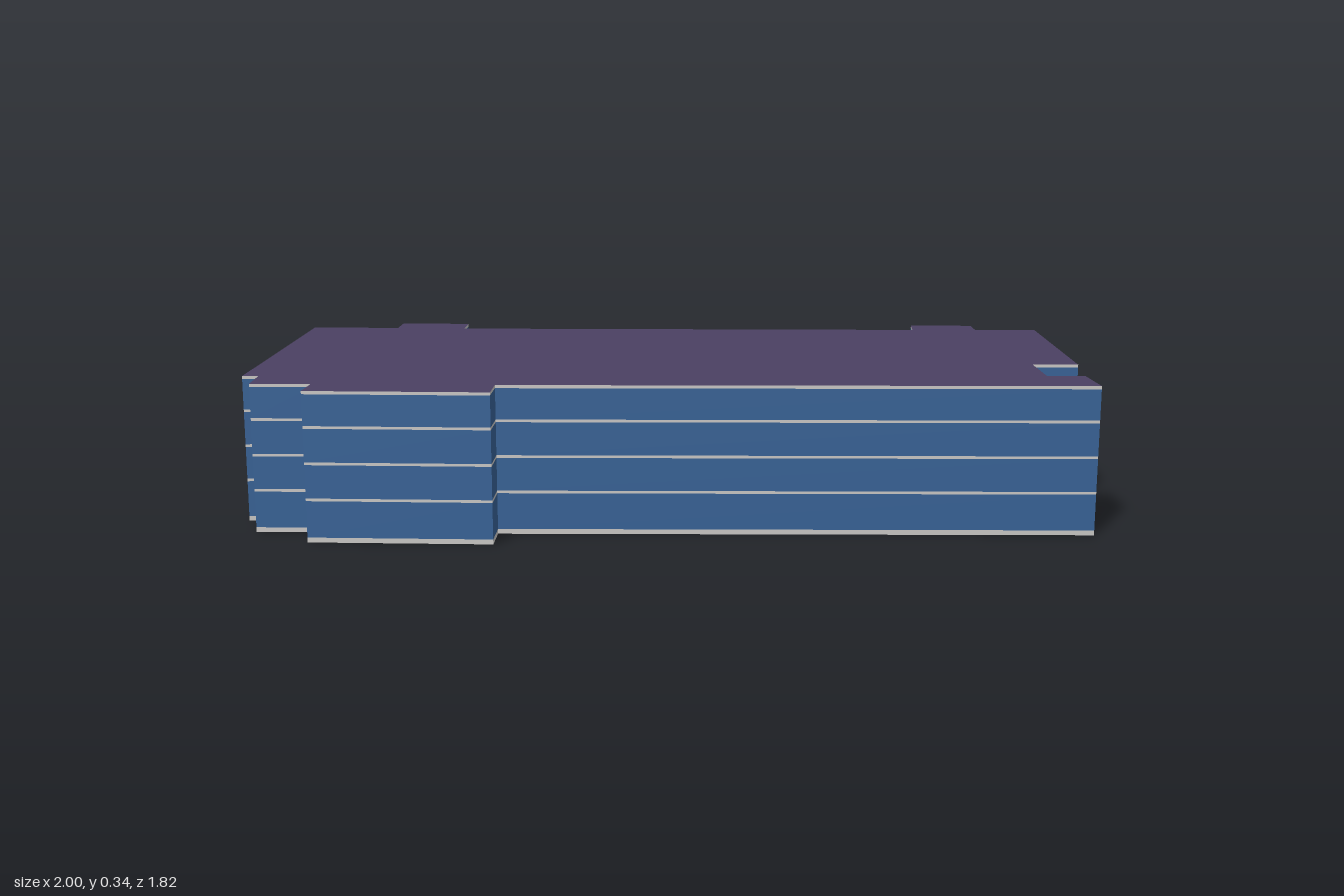
import * as THREE from 'three';

// Footprint corners as [x, z], clockwise seen from above
const FOOTPRINT = [
  [0.5, -0.91], [0.836, -0.485], [0.754, -0.418], [0.85, -0.303], [0.917, -0.357], [1, -0.266],
  [-0.018, 0.57], [0.036, 0.637], [-0.285, 0.885], [-0.335, 0.82], [-0.44, 0.905], [-0.505, 0.832],
  [-0.532, 0.857], [-1, 0.287], [-0.825, 0.147], [-0.875, 0.085], [-0.735, -0.025], [-0.68, 0.042],
  [0.25, -0.705], [0.205, -0.77], [0.33, -0.87], [0.377, -0.813],
];
const HEIGHT = 0.335;
const LINING_GAP = 0.003;
// Bottom and top of each pale floor band
const BANDS = [[0, 0.011], [0.0925, 0.0985], [0.1725, 0.1785], [0.2525, 0.2585], [0.328, HEIGHT]];

// Outline moved inwards by a distance, with mitred corners
function inset(outline, distance) {
  const count = outline.length;
  const normal = ([ax, az], [bx, bz]) => {
    const length = Math.hypot(bx - ax, bz - az);
    return [(az - bz) / length, (bx - ax) / length];
  };
  return outline.map((corner, i) => {
    const [mx, mz] = normal(outline[(i + count - 1) % count], corner);
    const [nx, nz] = normal(corner, outline[(i + 1) % count]);
    const scale = distance / (1 + mx * nx + mz * nz);
    return [corner[0] + (mx + nx) * scale, corner[1] + (mz + nz) * scale];
  });
}

// Vertical strip of wall following a closed outline, facing outward for clockwise corners
function wallStrip(outline, y0, y1) {
  const positions = [];
  outline.forEach(([ax, az], i) => {
    const [bx, bz] = outline[(i + 1) % outline.length];
    positions.push(bx, y0, bz, ax, y0, az, ax, y1, az);
    positions.push(bx, y0, bz, ax, y1, az, bx, y1, bz);
  });
  const geometry = new THREE.BufferGeometry();
  geometry.setAttribute('position', new THREE.Float32BufferAttribute(positions, 3));
  geometry.computeVertexNormals();
  return geometry;
}

function flatColour(name, color, side = THREE.FrontSide) {
  const material = new THREE.MeshStandardMaterial({ color, side });
  material.name = name;
  return material;
}

export function createModel() {
  const wallBlue = flatColour('wall blue', 0x376296);
  const bandGrey = flatColour('band grey', 0xcac8c6);
  const liningGrey = flatColour('lining grey', 0xc8ccd6, THREE.DoubleSide);
  const roofPurple = flatColour('roof purple', 0x4b4062, THREE.DoubleSide);

  const model = new THREE.Group();
  model.name = 'building';
  const add = (name, geometry, material) => {
    const mesh = new THREE.Mesh(geometry, material);
    mesh.name = name;
    model.add(mesh);
    return mesh;
  };

  // Four storeys of wall divided by thin floor bands
  BANDS.forEach(([bottom, top], i) => {
    add(`floorBand${i}`, wallStrip(FOOTPRINT, bottom, top), bandGrey);
    if (i > 0) add(`storeyWall${i}`, wallStrip(FOOTPRINT, BANDS[i - 1][1], bottom), wallBlue);
  });

  // Plain lining of the walls, open at the underside
  const liningOutline = inset(FOOTPRINT, LINING_GAP).reverse();
  add('innerWalls', wallStrip(liningOutline, 0, HEIGHT), liningGrey);

  // Flat roof
  const shape = new THREE.Shape(FOOTPRINT.map(([x, z]) => new THREE.Vector2(x, -z)));
  const roof = add('roof', new THREE.ShapeGeometry(shape), roofPurple);
  roof.rotation.x = -Math.PI / 2;
  roof.position.y = HEIGHT;

  return model;
}
